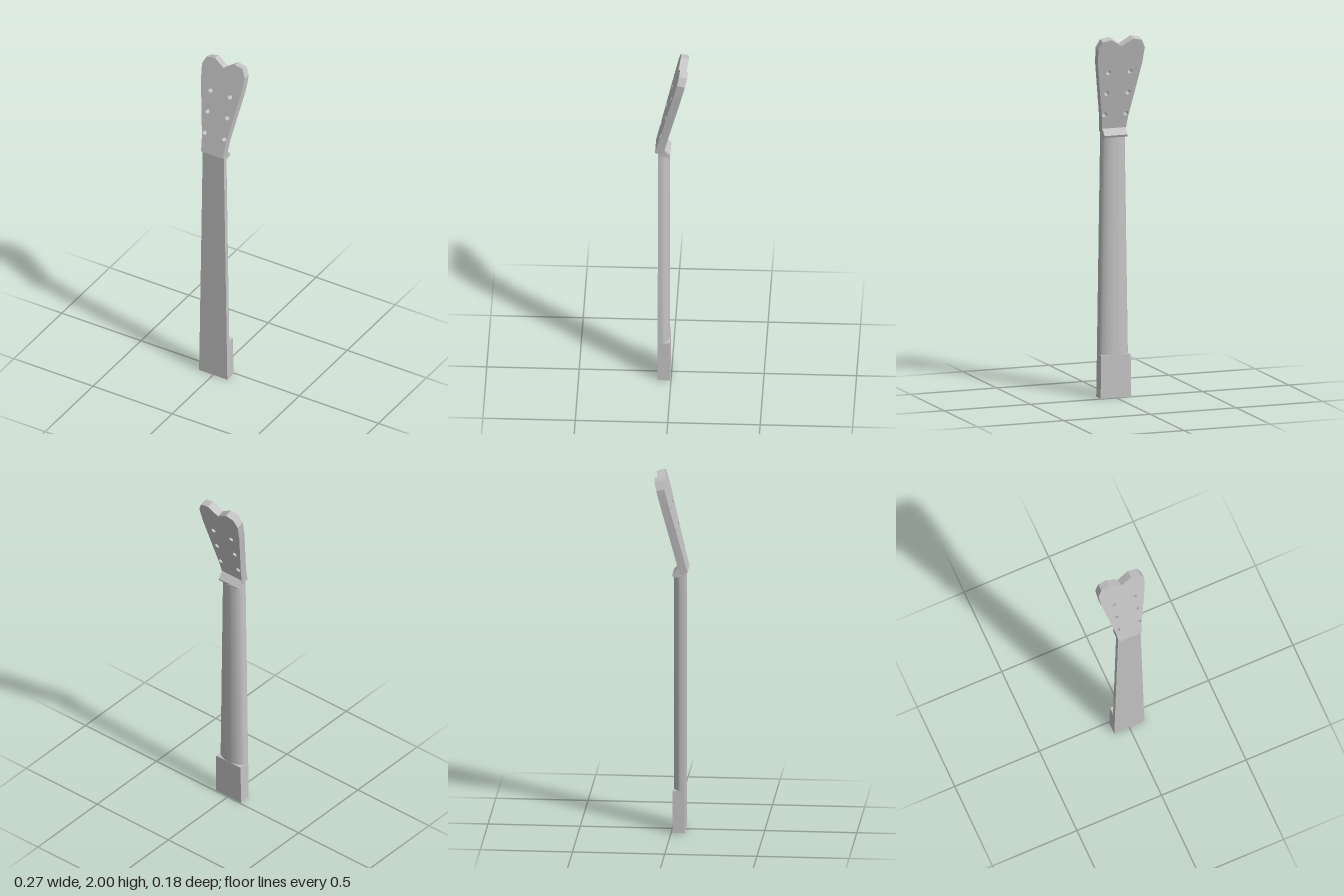
import * as THREE from 'three';
import { toCreasedNormals } from 'three/addons/utils/BufferGeometryUtils.js';

const FRONT = 0.072; // z of the flat front of the neck
const BACK = 0.007;  // z of the back of the heel

// Half width of the tapering neck at height y
const halfWidth = (y) => 0.089 - 0.0155 * y;

// Extrude a unit-wide (x, -z) section from y0 to y1 and apply the taper
function taperedBar(shape, y0, y1) {
  const geo = new THREE.ExtrudeGeometry(shape, { depth: y1 - y0, bevelEnabled: false });
  geo.rotateX(-Math.PI / 2).translate(0, y0, 0);
  const p = geo.attributes.position;
  for (let i = 0; i < p.count; i++) p.setX(i, p.getX(i) * halfWidth(p.getY(i)));
  return toCreasedNormals(geo, 0.6);
}

function heelGeometry() {
  const s = new THREE.Shape();
  s.moveTo(-1, -FRONT).lineTo(1, -FRONT).lineTo(1, -BACK).lineTo(-1, -BACK);
  return taperedBar(s, 0, 0.236);
}

// Flat front edge with a half-oval back
function neckGeometry() {
  const s = new THREE.Shape();
  const edge = 0.053;
  s.moveTo(-1, -FRONT).lineTo(1, -FRONT).lineTo(1, -edge);
  const n = 28;
  for (let i = 1; i <= n; i++) {
    const a = (i / n) * Math.PI;
    s.lineTo(Math.cos(a), -edge + (edge - BACK - 0.001) * Math.sin(a));
  }
  return taperedBar(s, 0.236, 1.432);
}

// Wedge joining the neck and the tilted head, profile in (z, y)
function collarGeometry() {
  const s = new THREE.Shape([
    [FRONT, 1.432], [FRONT, 1.457], [0.06, 1.472], [0.042, 1.485], [0.004, 1.444], [0.01, 1.432],
  ].map(([z, y]) => new THREE.Vector2(-z, y)));
  const w = 0.067;
  const geo = new THREE.ExtrudeGeometry(s, { depth: 2 * w, bevelEnabled: false });
  // depth runs along x after the turn
  return geo.translate(0, 0, -w).rotateY(Math.PI / 2);
}

// Flat head with six peg holes, tilted backwards
function headGeometry() {
  const tilt = 0.244, base = 1.46, thick = 0.0445;
  const up = (y) => (y - base) / Math.cos(tilt);
  const right = [[0.068, 1.46], [0.075, 1.545], [0.128, 1.855], [0.135, 1.945], [0.113, 1.99], [0.063, 2.0]];
  const left = right.map(([x, y]) => [-x, y]).reverse();
  const s = new THREE.Shape([...right, [0, 1.96], ...left].map(([x, y]) => new THREE.Vector2(x, up(y))));
  for (const x of [-0.062, 0.062]) {
    for (const y of [1.57, 1.692, 1.812]) {
      s.holes.push(new THREE.Path().absarc(x, up(y), 0.0135, 0, Math.PI * 2, true));
    }
  }
  const geo = new THREE.ExtrudeGeometry(s, { depth: thick, bevelEnabled: false, curveSegments: 20 });
  geo.translate(0, 0, -thick).rotateX(-tilt).translate(0, base, 0.087);
  return toCreasedNormals(geo, 0.4);
}

export function createModel() {
  const model = new THREE.Group();
  model.name = 'instrumentNeck';
  const grey = new THREE.MeshStandardMaterial({ color: 0xc4c4c4 });
  grey.name = 'plain grey';
  const parts = {
    heelBlock: heelGeometry(),
    neckShaft: neckGeometry(),
    collar: collarGeometry(),
    headstock: headGeometry(),
  };
  for (const [name, geo] of Object.entries(parts)) {
    const mesh = new THREE.Mesh(geo, grey);
    mesh.name = name;
    model.add(mesh);
  }
  return model;
}
